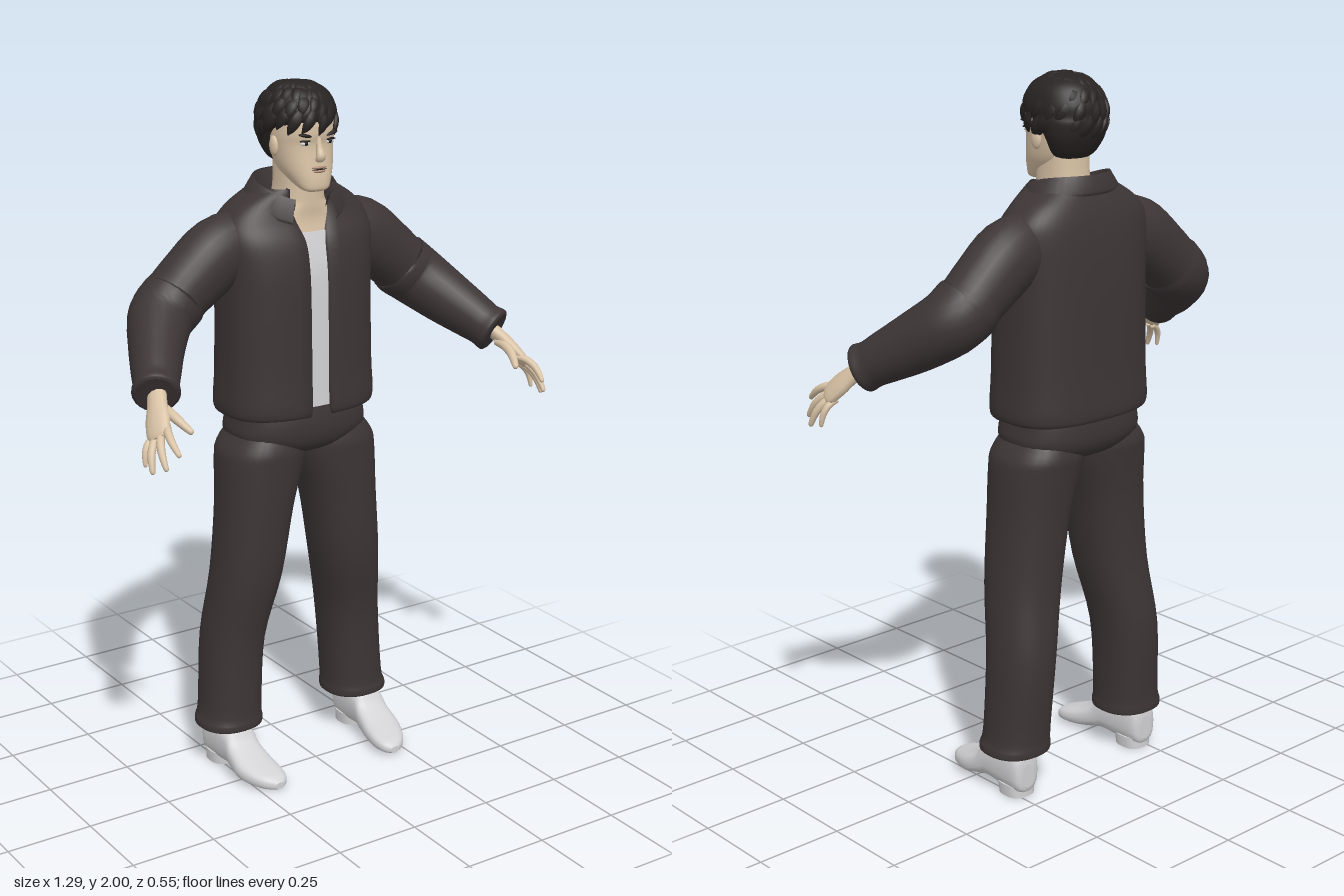
import * as THREE from 'three';

const V = (x, y, z) => new THREE.Vector3(x, y, z);
const mat = (name, color, side = THREE.FrontSide) => {
  const m = new THREE.MeshStandardMaterial({ color, side });
  m.name = name;
  return m;
};
const se = (v, n) => Math.sign(v) * Math.abs(v) ** (2 / n);

// Catmull-Rom through rows of numbers, m steps per span
function smooth(rows, m = 4) {
  const out = [], last = rows.length - 1;
  for (let i = 0; i < last; i++) {
    const a = rows[Math.max(i - 1, 0)], b = rows[i], c = rows[i + 1], d = rows[Math.min(i + 2, last)];
    for (let k = 0; k < m; k++) {
      const t = k / m;
      out.push(b.map((v, j) => v + 0.5 * t * (c[j] - a[j] + t * (2 * a[j] - 5 * v + 4 * c[j] - d[j]
        + t * (3 * (v - c[j]) + d[j] - a[j])))));
    }
  }
  out.push(rows[last]);
  return out;
}

// Skin over a list of rings, each counter-clockwise about the direction of travel
function loft(rings, closed = true) {
  const n = rings[0].length, pts = rings.flat(), idx = [];
  for (let i = 0; i < rings.length - 1; i++) {
    for (let j = 0; j < (closed ? n : n - 1); j++) {
      const a = i * n + j, b = i * n + (j + 1) % n;
      idx.push(a, b, a + n, b, b + n, a + n);
    }
  }
  if (closed) {
    [rings[0], rings[rings.length - 1]].forEach((ring, end) => {
      const base = pts.length, mid = V(0, 0, 0);
      ring.forEach(p => mid.addScaledVector(p, 1 / n));
      pts.push(...ring, mid);
      for (let j = 0; j < n; j++) {
        const a = base + j, b = base + (j + 1) % n;
        idx.push(...(end ? [a, b, base + n] : [b, a, base + n]));
      }
    });
  }
  const g = new THREE.BufferGeometry().setFromPoints(pts);
  g.setIndex(idx);
  g.computeVertexNormals();
  return g;
}

// Upright body from rows [y, cx, cz, rx, rz]
const upright = (rows, n = 2.4, seg = 32, m = 4) => loft(smooth(rows, m).map(([y, cx, cz, rx, rz]) =>
  Array.from({ length: seg }, (_, j) => {
    const a = j / seg * Math.PI * 2;
    return V(cx + rx * se(Math.sin(a), n), y, cz + rz * se(Math.cos(a), n));
  })));

// Limb along rows [x, y, z, side radius, up radius]; s mirrors it
function limb(rows, s = 1, ref = V(0, 1, 0), seg = 12, m = 4) {
  const r = smooth(rows, m).map(q => [q[0] * s, ...q.slice(1)]);
  return loft(r.map((q, i) => {
    const p = r[Math.max(i - 1, 0)], e = r[Math.min(i + 1, r.length - 1)];
    const T = V(e[0] - p[0], e[1] - p[1], e[2] - p[2]).normalize();
    const side = T.clone().cross(ref).normalize(), up = T.clone().cross(side);
    return Array.from({ length: seg }, (_, j) => {
      const a = j / seg * Math.PI * 2;
      return V(q[0], q[1], q[2]).addScaledVector(side, q[3] * Math.cos(a)).addScaledVector(up, q[4] * Math.sin(a));
    });
  }));
}

export function createModel() {
  const model = new THREE.Group();
  const cloth = mat('dark cloth', 0x3d3536, THREE.DoubleSide), hair = mat('black hair', 0x292424);
  const skin = mat('skin', 0xd9c3a6), white = mat('pale grey', 0xd2d2d4);
  const lip = mat('lip', 0xb08d78), dark = mat('eye dark', 0x1c1818);
  const add = (name, geo, m, parent = model) => {
    const mesh = new THREE.Mesh(geo, m);
    mesh.name = name;
    parent.add(mesh);
    return mesh;
  };
  const blob = (name, m, x, y, z, rx, ry, rz) => {
    const b = add(name, new THREE.SphereGeometry(1, 16, 12), m);
    b.position.set(x, y, z);
    b.scale.set(rx, ry, rz);
    return b;
  };

  // Jacket, open down the front: y, centre z, rx, rz, half gap
  const coat = smooth([
    [1.085, -0.115, 0.2, 0.125, 0.035], [1.075, -0.115, 0.222, 0.145, 0.036], [1.1, -0.115, 0.234, 0.154, 0.034],
    [1.2, -0.115, 0.229, 0.15, 0.033], [1.4, -0.115, 0.226, 0.146, 0.033], [1.5, -0.116, 0.23, 0.14, 0.033],
    [1.57, -0.12, 0.235, 0.129, 0.036], [1.62, -0.128, 0.225, 0.112, 0.05], [1.66, -0.128, 0.19, 0.1, 0.06],
    [1.69, -0.122, 0.145, 0.094, 0.062], [1.71, -0.118, 0.11, 0.09, 0.06]]);
  add('jacketBody', loft(coat.map(([y, cz, rx, rz, gap]) => {
    const n = 2.7, a0 = Math.asin((gap / rx) ** (n / 2)), ring = [];
    for (let j = 0; j <= 48; j++) {
      const a = a0 + (Math.PI * 2 - 2 * a0) * j / 48;
      ring.push(V(rx * se(Math.sin(a), n), y, cz + rz * se(Math.cos(a), n)));
    }
    const fold = p => V(p.x, p.y, p.z - 0.03);
    return [fold(ring[0]), ...ring, fold(ring[48])];
  }), false), cloth);

  // Collar: stand, top edge and turned-down fall
  const collarRow = (rx, rz, y, drop) => Array.from({ length: 37 }, (_, j) => {
    const a = (j / 18 - 1) * (Math.PI - 0.5), w = (1 - Math.cos(a)) / 2;
    return V(rx * Math.sin(a), y - drop * w * w, -0.108 - rz * Math.cos(a));
  });
  add('collar', loft([collarRow(0.095, 0.085, 1.67, 0.06), collarRow(0.108, 0.1, 1.735, 0.06),
    collarRow(0.118, 0.107, 1.738, 0.06), collarRow(0.15, 0.122, 1.695, 0.075),
    collarRow(0.147, 0.115, 1.685, 0.075)], false), cloth);

  // Shirt and neck
  add('shirt', upright([[1.1, 0, -0.115, 0.2, 0.135], [1.4, 0, -0.115, 0.2, 0.131],
    [1.5, 0, -0.116, 0.2, 0.126], [1.59, 0, -0.12, 0.19, 0.11]], 2.7), white);
  add('neck', upright([[1.57, 0, -0.12, 0.18, 0.108], [1.62, 0, -0.12, 0.14, 0.1], [1.66, 0, -0.105, 0.085, 0.088],
    [1.69, 0, -0.09, 0.066, 0.074], [1.79, 0, -0.085, 0.063, 0.074]]), skin);

  // Head and face
  add('head', upright([[1.706, 0, -0.002, 0.026, 0.016], [1.714, 0, -0.007, 0.042, 0.03], [1.74, 0, -0.036, 0.06, 0.06],
    [1.775, 0, -0.06, 0.075, 0.08], [1.83, 0, -0.073, 0.083, 0.088], [1.865, 0, -0.076, 0.085, 0.097],
    [1.92, 0, -0.08, 0.08, 0.094], [1.96, 0, -0.085, 0.05, 0.06]], 2.3), skin);
  add('nose', limb([[0, 1.855, 0.012, 0.007, 0.008], [0, 1.825, 0.019, 0.009, 0.009],
    [0, 1.802, 0.026, 0.014, 0.012], [0, 1.792, 0.018, 0.013, 0.008]], 1, V(0, 0, 1)), skin);
  blob('upperLip', lip, 0, 1.772, 0.017, 0.025, 0.004, 0.008);
  blob('lowerLip', lip, 0, 1.762, 0.018, 0.02, 0.005, 0.008);
  blob('mouthLine', dark, 0, 1.767, 0.02, 0.024, 0.0015, 0.006);
  for (const s of [-1, 1]) {
    blob('eye', white, s * 0.038, 1.838, 0.008, 0.015, 0.006, 0.007);
    blob('iris', dark, s * 0.038, 1.839, 0.012, 0.006, 0.006, 0.005);
    blob('eyeLid', dark, s * 0.039, 1.845, 0.01, 0.018, 0.003, 0.008);
    blob('brow', hair, s * 0.04, 1.86, 0.012, 0.022, 0.005, 0.009).rotation.z = s * 0.2;
    blob('ear', skin, s * 0.085, 1.825, -0.075, 0.01, 0.028, 0.018);
  }

  // Hair cap with overlapping locks swept out from the crown
  add('hairCap', upright([[1.775, 0, -0.125, 0.05, 0.035], [1.79, 0, -0.13, 0.07, 0.045],
    [1.83, 0, -0.135, 0.09, 0.063], [1.87, 0, -0.122, 0.098, 0.086], [1.89, 0, -0.096, 0.1, 0.112],
    [1.92, 0, -0.09, 0.1, 0.115], [1.96, 0, -0.09, 0.083, 0.094], [1.983, 0, -0.09, 0.053, 0.062],
    [1.993, 0, -0.09, 0.015, 0.02]], 2.1), hair);
  let seed = 7;
  const rnd = () => (seed = (seed * 16807) % 2147483647) / 2147483647;
  const locks = new THREE.Group();
  locks.name = 'hairLocks';
  model.add(locks);
  for (let row = 0; row < 4; row++) {
    for (let i = 0; i < 18; i++) {
      const th = (i + row * 0.5 + rnd() * 0.4) / 18 * Math.PI * 2, c = Math.cos(th);
      const low = c > 0.35 ? 1.62 + 0.25 * rnd() : c > -0.4 ? 1.98 + 0.2 * rnd() : 2.15;
      const end = low * (0.42 + 0.193 * row), start = end - 0.62, twist = 0.25 + 0.2 * rnd();
      const rows = [0, 0.35, 0.7, 1].map((t, k) => {
        const p = start + (end - start) * t, a = th - twist * t, q = 0.98 + 0.02 * Math.sin(t * 3);
        const r = [0.008, 0.016, 0.013, 0.001][k];
        return [-0.005 + 0.104 * q * Math.sin(p) * Math.sin(a), 1.884 + 0.109 * q * Math.cos(p),
          -0.09 + 0.122 * q * Math.sin(p) * Math.cos(a), r, r * 0.5];
      });
      const out = V(Math.sin(th) * Math.sin(end), Math.cos(end) + 0.3, c * Math.sin(end)).normalize();
      add('lock', limb(rows, 1, out, 7, 3), hair, locks);
    }
  }

  // Trousers: seat, then legs
  add('trouserSeat', upright([[0.955, 0, -0.11, 0.06, 0.08], [0.975, 0, -0.112, 0.15, 0.118],
    [1.01, 0, -0.114, 0.205, 0.138], [1.06, 0, -0.114, 0.203, 0.141], [1.12, 0, -0.115, 0.19, 0.13]], 2.6), cloth);

  for (const s of [-1, 1]) {
    const side = s > 0 ? 'left' : 'right';
    add(side + 'TrouserLeg', upright([[0.15, 0.22, -0.135, 0.075, 0.075], [0.128, 0.22, -0.133, 0.094, 0.092],
      [0.145, 0.219, -0.133, 0.096, 0.095], [0.19, 0.214, -0.135, 0.089, 0.092], [0.4, 0.2, -0.138, 0.088, 0.1],
      [0.6, 0.168, -0.11, 0.098, 0.108], [0.8, 0.142, -0.105, 0.107, 0.115], [0.93, 0.121, -0.109, 0.123, 0.124],
      [0.98, 0.114, -0.112, 0.12, 0.126], [1.03, 0.1, -0.113, 0.095, 0.11]].map(r => [r[0], s * r[1], ...r.slice(2)]), 2.3), cloth);

    // Shoe rows: z, centre x, half width, bottom, top
    const shoe = smooth([[-0.203, 0.232, 0.022, 0.03, 0.1], [-0.19, 0.232, 0.044, 0.012, 0.14],
      [-0.12, 0.23, 0.05, 0.014, 0.15], [-0.06, 0.228, 0.052, 0.02, 0.135], [-0.03, 0.227, 0.055, 0.016, 0.1],
      [0.02, 0.224, 0.06, 0.006, 0.072], [0.07, 0.214, 0.053, 0.003, 0.054], [0.105, 0.206, 0.037, 0.004, 0.042],
      [0.123, 0.202, 0.014, 0.008, 0.028]]);
    add(side + 'Shoe', loft(shoe.map(([z, cx, hw, b, t]) => Array.from({ length: 24 }, (_, j) => {
      const a = j / 24 * Math.PI * 2;
      return V(s * cx + hw * se(Math.cos(a), 2.6), (b + t) / 2 + (t - b) / 2 * se(Math.sin(a), 2.6), z);
    }))), white);
    add(side + 'ShoeHeel', upright([[0, s * 0.231, -0.152, 0.044, 0.046], [0.035, s * 0.231, -0.15, 0.046, 0.048]], 2.6, 24, 1), white);

    // Sleeve with a seam below the shoulder and a rolled cuff
    add(side + 'Sleeve', limb([[0.13, 1.57, -0.13, 0.075, 0.085], [0.23, 1.54, -0.13, 0.088, 0.1],
      [0.32, 1.475, -0.13, 0.088, 0.093], [0.365, 1.437, -0.13, 0.088, 0.089], [0.378, 1.425, -0.128, 0.092, 0.094],
      [0.425, 1.387, -0.112, 0.09, 0.09], [0.475, 1.335, -0.045, 0.077, 0.082], [0.52, 1.287, 0.03, 0.067, 0.07],
      [0.54, 1.265, 0.065, 0.062, 0.064], [0.553, 1.252, 0.087, 0.065, 0.067], [0.557, 1.248, 0.094, 0.055, 0.057]],
      s, V(0, 1, 0), 24), cloth);

    // Hand
    const palmRef = V(0.78 * s, 0.6, 0.12);
    add(side + 'Palm', limb([[0.545, 1.26, 0.075, 0.028, 0.022], [0.566, 1.23, 0.115, 0.03, 0.02],
      [0.583, 1.2, 0.147, 0.038, 0.019], [0.598, 1.172, 0.175, 0.037, 0.015], [0.603, 1.162, 0.185, 0.026, 0.01]], s, palmRef), skin);
    const fingers = { index: [0.583, 1.186, 0.197, 0.59, 1.135, 0.274], middle: [0.597, 1.169, 0.187, 0.616, 1.095, 0.25],
      ring: [0.607, 1.156, 0.173, 0.637, 1.08, 0.214], little: [0.61, 1.152, 0.154, 0.634, 1.087, 0.17],
      thumb: [0.553, 1.22, 0.135, 0.527, 1.175, 0.23] };
    for (const [name, [x, y, z, X, Y, Z]] of Object.entries(fingers)) {
      const f = name === 'thumb' ? 1.25 : name === 'little' ? 0.85 : 1;
      const rows = [[-0.25, 0.009], [0.1, 0.011], [0.5, 0.0105], [0.85, 0.008], [0.97, 0.006], [1, 0.002]].map(([t, r]) => {
        const bow = 0.03 * t * (1 - t);
        return [x + (X - x) * t + bow, y + (Y - y) * t + bow, z + (Z - z) * t, r * f, r * f];
      });
      add(side + name[0].toUpperCase() + name.slice(1) + (f > 1 ? '' : 'Finger'), limb(rows, s, palmRef, 10, 3), skin);
    }
  }
  return model;
}
